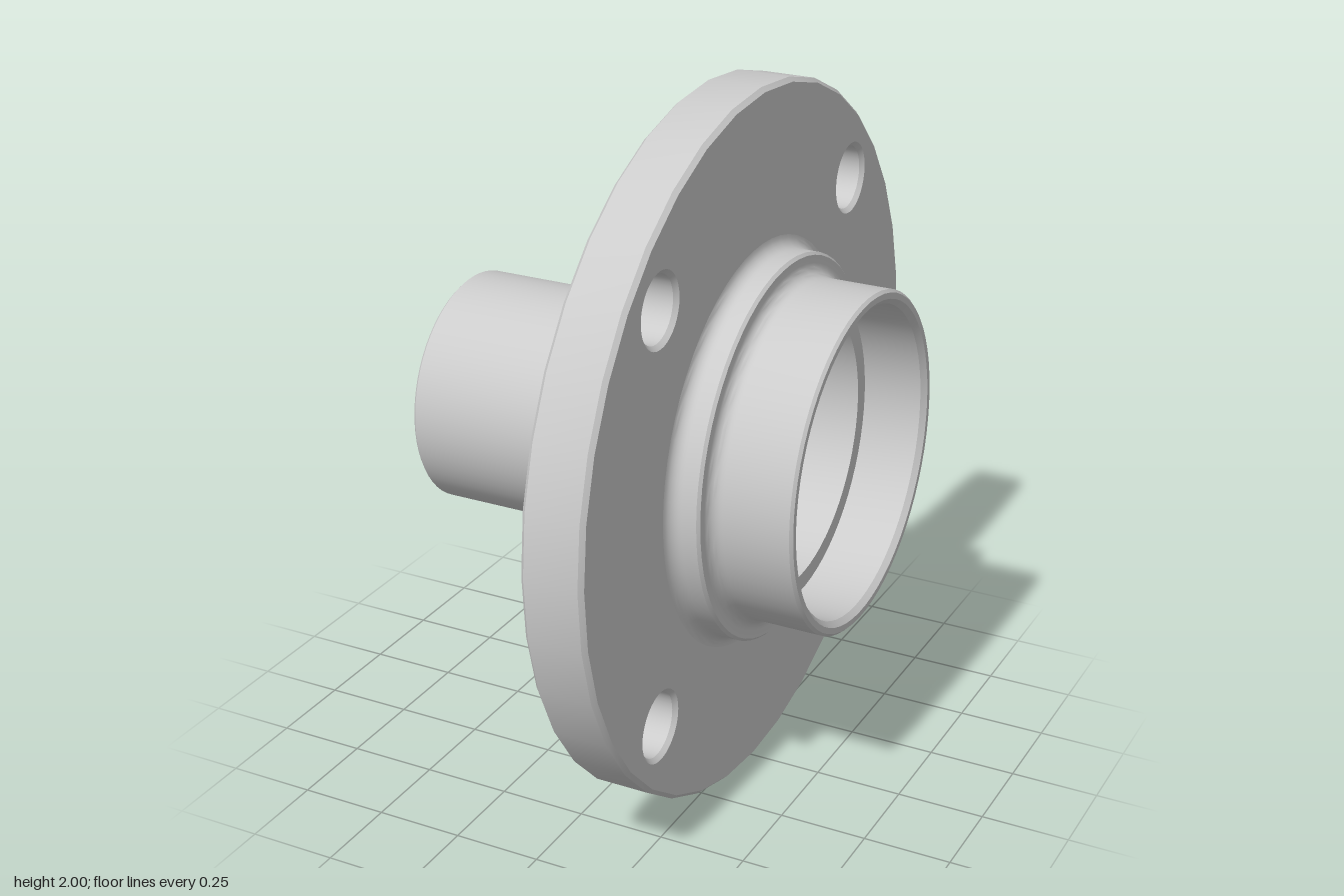
import * as THREE from 'three';
import { toCreasedNormals } from 'three/addons/utils/BufferGeometryUtils.js';

const material = new THREE.MeshStandardMaterial({ color: 0xcccccc });

// Fillet points (axial, radius) around a centre, angles in degrees
function fillet(cx, cr, size, from, to, steps = 6) {
  const points = [];
  for (let i = 0; i <= steps; i++) {
    const a = THREE.MathUtils.degToRad(from + ((to - from) * i) / steps);
    points.push([cx + size * Math.cos(a), cr + size * Math.sin(a)]);
  }
  return points;
}

// Stepped hub: closed profile turned around the x axis
function createHub() {
  const profile = [
    // spindle tube
    [-0.615, 0.255], [-0.615, 0.323], [-0.607, 0.331],
    ...fillet(-0.11, 0.381, 0.05, -90, 0),
    // stepped shoulders behind the flange
    [-0.06, 0.436], [-0.055, 0.441],
    ...fillet(-0.01, 0.476, 0.035, -90, 0),
    [0.025, 0.58], [0.03, 0.585],
    ...fillet(0.06, 0.615, 0.03, -90, 0),
    [0.09, 0.66], [0.095, 0.668],
    ...fillet(0.1, 0.688, 0.02, -90, 0),
    // shoulder and collar in front of the flange
    ...fillet(0.33, 0.575, 0.035, 180, 270),
    [0.372, 0.54], [0.38, 0.532],
    ...fillet(0.415, 0.51, 0.035, 180, 270),
    [0.602, 0.475], [0.61, 0.467],
    // bearing seat, inner step and tapered bore
    [0.61, 0.45], [0.595, 0.435], [0.425, 0.435], [0.425, 0.385],
    [0.24, 0.385], [0.24, 0.215], [0.23, 0.206], [0.15, 0.206],
    [-0.615, 0.255],
  ];
  const lathe = new THREE.LatheGeometry(profile.map(([x, r]) => new THREE.Vector2(r, x)), 64);
  lathe.rotateZ(-Math.PI / 2);
  const hub = new THREE.Mesh(toCreasedNormals(lathe, 0.5), material);
  hub.name = 'hub';
  return hub;
}

// Round flange with chamfered rim and four bolt holes
function createFlange() {
  const chamfer = 0.012;
  const disc = new THREE.Shape().absarc(0, 0, 1, 0, Math.PI * 2);
  const addHole = (x, y, r) =>
    disc.holes.push(new THREE.Path().absarc(x, y, r, 0, Math.PI * 2, true));
  addHole(0, 0, 0.5);
  for (const sx of [-1, 1]) for (const sy of [-1, 1]) addHole(sx * 0.588, sy * 0.588, 0.091);

  const geometry = new THREE.ExtrudeGeometry(disc, {
    depth: 0.175 - 2 * chamfer,
    bevelEnabled: true,
    bevelThickness: chamfer,
    bevelSize: chamfer,
    bevelOffset: -chamfer,
    bevelSegments: 1,
    curveSegments: 18,
  });
  geometry.translate(0, 0, 0.12 + chamfer);
  geometry.rotateY(Math.PI / 2);
  const flange = new THREE.Mesh(toCreasedNormals(geometry, 0.5), material);
  flange.name = 'flange';
  return flange;
}

export function createModel() {
  const model = new THREE.Group();
  model.name = 'wheelHub';
  model.add(createHub(), createFlange());
  model.position.y = 1;
  return model;
}
